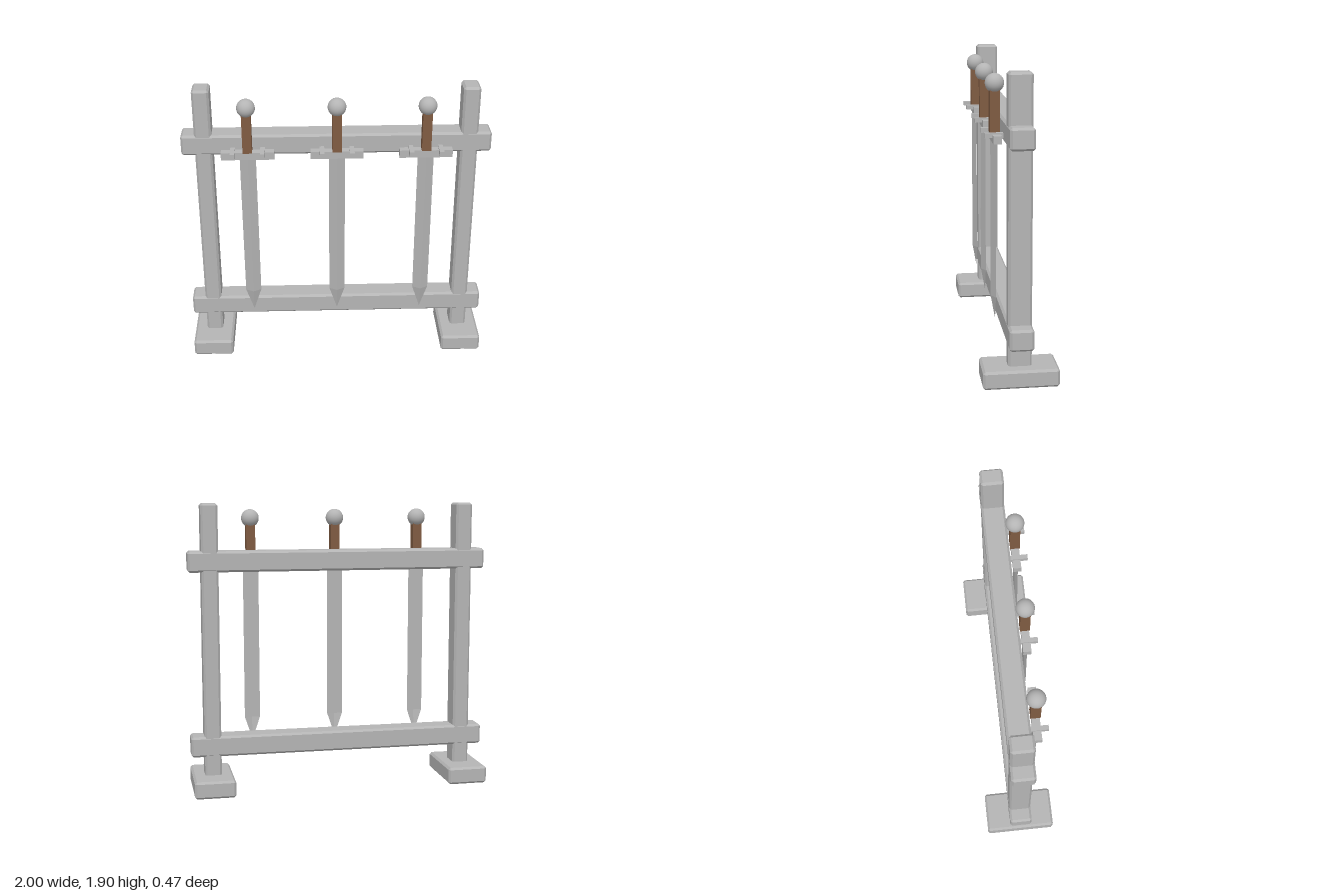
import * as THREE from 'three';
import { ConvexGeometry } from 'three/addons/geometries/ConvexGeometry.js';

const named = (material, name) => Object.assign(material, { name });

// Box with chamfered edges, each corner cut into three points
function chamferedBox(w, h, d, c = 0.014) {
  const points = [];
  for (const x of [-1, 1]) for (const y of [-1, 1]) for (const z of [-1, 1]) {
    const X = x * w / 2, Y = y * h / 2, Z = z * d / 2;
    points.push(
      new THREE.Vector3(X, Y - y * c, Z - z * c),
      new THREE.Vector3(X - x * c, Y, Z - z * c),
      new THREE.Vector3(X - x * c, Y - y * c, Z));
  }
  return new ConvexGeometry(points);
}

// Blade with a flat back, a ridge in front and a point hollow behind
function bladeGeometry(halfWidth, depth, top, shoulder, tip) {
  const ring = (y) => [[-halfWidth, y, 0], [halfWidth, y, 0], [0, y, depth]];
  const [a, b, c] = ring(top);
  const [d, e, f] = ring(shoulder);
  const t = [0, tip, 0];
  const faces = [
    [a, d, f], [a, f, c], // front left
    [c, f, e], [c, e, b], // front right
    [b, e, d], [b, d, a], // back
    [a, c, b], [d, e, f], // ends
    [d, t, f], [f, t, e], // point
  ];
  const geometry = new THREE.BufferGeometry();
  geometry.setAttribute('position', new THREE.Float32BufferAttribute(faces.flat(2), 3));
  geometry.computeVertexNormals();
  return geometry;
}

export function createModel() {
  const model = new THREE.Group();
  model.name = 'swordRack';

  const grey = named(new THREE.MeshStandardMaterial({ color: 0xb4b4b4 }), 'grey');
  grey.side = THREE.DoubleSide;
  const brown = named(new THREE.MeshStandardMaterial({ color: 0x7f5b42 }), 'brown leather');

  const add = (parent, name, geometry, material, x, y, z) => {
    const mesh = new THREE.Mesh(geometry, material);
    mesh.name = name;
    mesh.position.set(x, y, z);
    parent.add(mesh);
  };

  // Posts and feet
  for (const [side, s] of [['left', 1], ['right', -1]]) {
    add(model, side + 'Foot', chamferedBox(0.268, 0.115, 0.47), grey, s * 0.859, 0.0575, 0);
    add(model, side + 'Post', chamferedBox(0.11, 1.83, 0.146), grey, s * 0.857, 0.99, 0);
  }

  // Rails
  add(model, 'lowerRail', chamferedBox(2, 0.136, 0.15), grey, 0, 0.308, 0);
  add(model, 'upperRail', chamferedBox(2, 0.136, 0.15), grey, 0, 1.53, 0);

  // Swords, each hung by its guard on two pegs
  const blade = bladeGeometry(0.052, 0.028, 1.47, 0.46, 0.305);
  const guard = new THREE.BoxGeometry(0.34, 0.05, 0.052);
  const grip = new THREE.BoxGeometry(0.06, 0.28, 0.063);
  const pommel = new THREE.SphereGeometry(0.059, 24, 16);
  const peg = new THREE.BoxGeometry(0.03, 0.03, 0.127);
  for (const x of [-0.572, 0, 0.572]) {
    const sword = new THREE.Group();
    sword.name = 'sword';
    sword.position.x = x;
    add(sword, 'blade', blade, grey, 0, 0, 0.113);
    add(sword, 'guard', guard, grey, 0, 1.483, 0.115);
    add(sword, 'grip', grip, brown, 0, 1.645, 0.115);
    add(sword, 'pommel', pommel, grey, 0, 1.805, 0.115);
    model.add(sword);
    for (const s of [-1, 1]) add(model, 'peg', peg, grey, x + s * 0.096, 1.502, 0.125);
  }
  return model;
}
